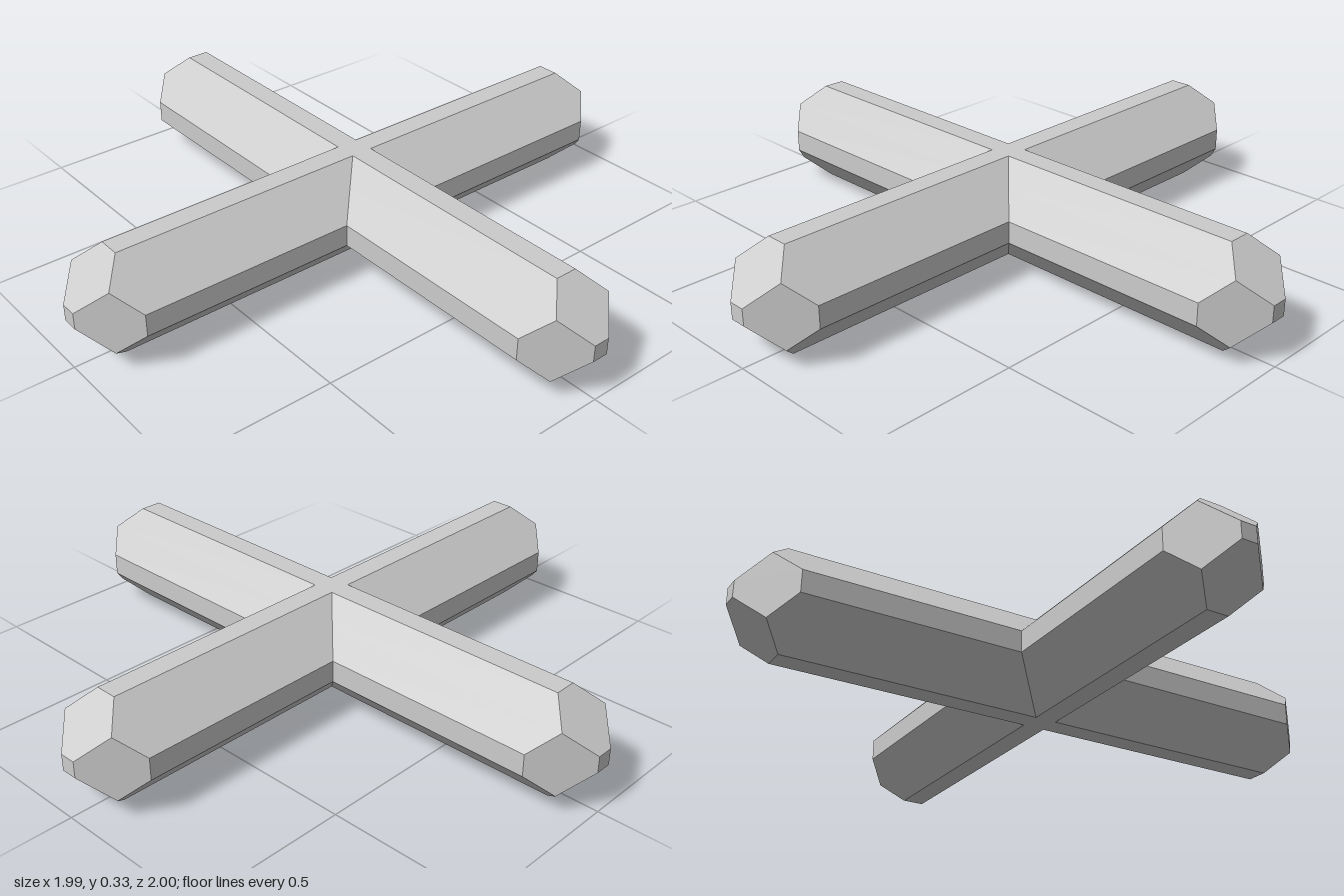
import * as THREE from 'three';

const R = 0.166;     // half thickness of an arm
const FLAT = 0.035;  // half width of the narrow flats
const TIP = 0.026;   // half width of the small end square
const MID = (R + FLAT) / 2;

// Chamfered-square section as [z, y], with extra points where tip facets meet
// and on the top and bottom centre lines.
const section = [
  [R, -FLAT], [R, FLAT], [MID, MID], [FLAT, R], [0, R], [-FLAT, R], [-MID, MID],
  [-R, FLAT], [-R, -FLAT], [-MID, -MID], [-FLAT, -R], [0, -R], [FLAT, -R], [MID, -MID],
];

// One arm along +x: mitred at the centre, faceted at 45 degrees at the tip
function armGeometry(length) {
  const clamp = (v) => THREE.MathUtils.clamp(v, -TIP, TIP);
  const rings = [
    section.map(([z, y]) => new THREE.Vector3(Math.abs(z), y, z)),
    section.map(([z, y]) =>
      new THREE.Vector3(length + TIP - Math.max(Math.abs(y), Math.abs(z)), y, z)),
    section.map(([z, y]) => new THREE.Vector3(length, clamp(y), clamp(z))),
  ];
  const points = [];
  const triangle = (a, b, c) => {
    if (a.equals(b) || b.equals(c) || c.equals(a)) return;
    points.push(a, b, c);
  };
  const n = section.length;
  const centre = new THREE.Vector3(length, 0, 0);
  for (let i = 0; i < n; i++) {
    const j = (i + 1) % n;
    for (let k = 0; k < 2; k++) {
      const a = rings[k], b = rings[k + 1];
      triangle(a[i], b[i], b[j]);
      triangle(a[i], b[j], a[j]);
    }
    triangle(centre, rings[2][j], rings[2][i]);
  }
  const geometry = new THREE.BufferGeometry().setFromPoints(points);
  geometry.computeVertexNormals();
  return geometry;
}

export function createModel() {
  const group = new THREE.Group();
  group.name = 'crossBar';
  const material = new THREE.MeshStandardMaterial({ color: 0xcccccc, flatShading: true });

  // Four arms, a quarter turn apart; the crossing sits slightly behind centre
  const offset = 0.004;
  const arms = [
    ['leftArm', 0.993],
    ['backArm', 1 - offset],
    ['rightArm', 0.993],
    ['frontArm', 1 + offset],
  ];
  arms.forEach(([name, length], i) => {
    const arm = new THREE.Mesh(armGeometry(length), material);
    arm.name = name;
    arm.rotation.y = i * Math.PI / 2;
    arm.position.set(0, R, -offset);
    group.add(arm);
  });
  return group;
}
